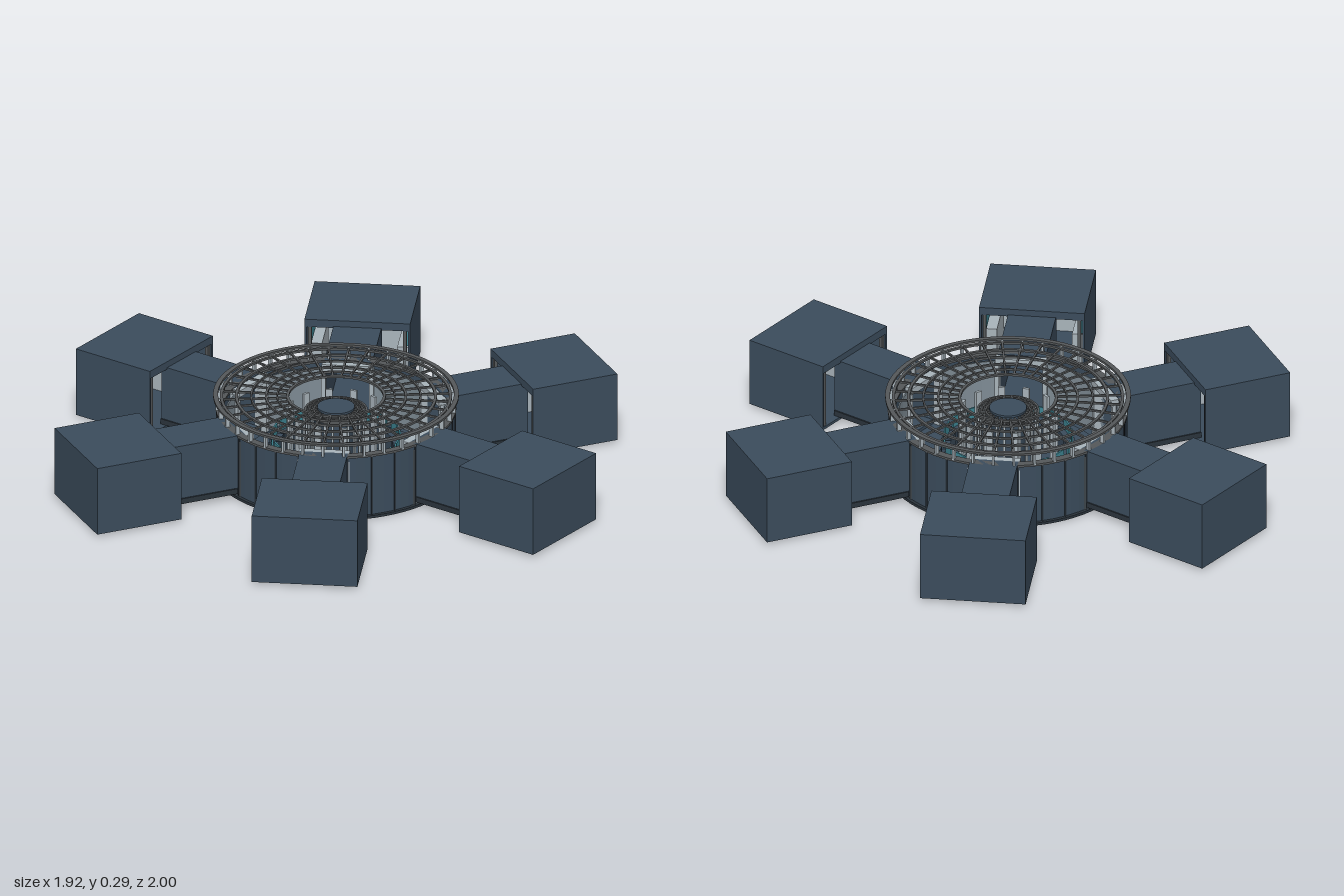
import * as THREE from 'three';

const mat = (color, side = THREE.FrontSide) => new THREE.MeshStandardMaterial({ color, side });
const hull = mat(0x3b4c5c), hullThin = mat(0x3b4c5c, THREE.DoubleSide);
const frame = mat(0x55585a), panel = mat(0xa9b4bb), glass = mat(0x3f8896), dark = mat(0x2b343c);

function add(parent, name, geometry, material, x = 0, y = 0, z = 0) {
  const mesh = new THREE.Mesh(geometry, material);
  mesh.name = name;
  mesh.position.set(x, y, z);
  parent.add(mesh);
  return mesh;
}

// Box given by its minimum and maximum corners
function block(parent, name, material, x0, x1, y0, y1, z0, z1) {
  return add(parent, name, new THREE.BoxGeometry(x1 - x0, y1 - y0, z1 - z0), material,
    (x0 + x1) / 2, (y0 + y1) / 2, (z0 + z1) / 2);
}

// Flat ring with a rectangular section
function band(parent, name, material, r0, r1, y0, y1, start = 0, sweep = Math.PI * 2) {
  const pts = [[r0, y0], [r1, y0], [r1, y1], [r0, y1], [r0, y0]];
  const points = pts.map(([r, y]) => new THREE.Vector2(r, y));
  const geometry = new THREE.LatheGeometry(points, Math.max(8, Math.round(sweep * 12)), start, sweep).toNonIndexed();
  geometry.computeVertexNormals();
  return add(parent, name, geometry, material);
}

// Repeat a part around the vertical axis; the part is built pointing along +z
function around(parent, name, count, build, offset = 0) {
  for (let i = 0; i < count; i++) {
    const g = new THREE.Group();
    g.name = name;
    g.rotation.y = offset + (i / count) * Math.PI * 2;
    build(g);
    parent.add(g);
  }
}

// Corridor from the hub to a pod
function corridor(g) {
  const w = 0.085, z0 = 0.385, z1 = 0.70;
  block(g, 'corridorRoof', hull, -w, w, 0.23, 0.242, z0, z1);
  block(g, 'corridorFloor', hull, -w, w, 0.02, 0.032, z0, z1);
  for (const s of [-1, 1]) {
    block(g, 'corridorWall', hull, s * 0.081 - 0.004, s * 0.081 + 0.004, 0.03, 0.232, z0, z1);
    block(g, 'corridorSkirt', dark, s * 0.086 - 0.004, s * 0.086 + 0.004, 0.02, 0.04, z0 + 0.03, z1);
  }
}

// Hollow pod, open on the side facing the hub
function pod(g) {
  const w = 0.187, z0 = 0.675, z1 = 0.998, t = 0.008;
  block(g, 'podFloor', hull, -w, w, 0.01, 0.02, z0, z1);
  block(g, 'podRoof', hull, -w, w, 0.254, 0.265, z0, z1);
  block(g, 'podEndWall', hull, -w, w, 0.02, 0.254, z1 - t, z1);
  block(g, 'podLining', panel, -w + t, w - t, 0.02, 0.254, z1 - t - 0.006, z1 - t);
  block(g, 'podHeader', hull, -w, w, 0.236, 0.256, z0, z0 + t);
  for (const s of [-1, 1]) {
    const side = s * (w - t / 2);
    block(g, 'podSideWall', hull, side - t / 2, side + t / 2, 0.02, 0.254, z0, z1);
    block(g, 'podDoorPost', frame, s * 0.168 - 0.006, s * 0.168 + 0.006, 0.02, 0.24, z0 + 0.004, z0 + 0.016);
    block(g, 'podCabinet', panel, s * 0.155 - 0.022, s * 0.155 + 0.022, 0.02, 0.14, 0.75, 0.95);
    block(g, 'podScreen', glass, s * 0.172 - 0.004, s * 0.172 + 0.004, 0.15, 0.22, 0.74, 0.96);
  }
}

// Door frame where a corridor enters the hub
function doorway(g) {
  block(g, 'doorLintel', panel, -0.09, 0.09, 0.215, 0.24, 0.355, 0.385);
  for (const s of [-1, 1]) {
    block(g, 'doorJamb', panel, s * 0.085 - 0.008, s * 0.085 + 0.008, 0.01, 0.22, 0.36, 0.41);
  }
}

export function createModel() {
  const model = new THREE.Group();
  model.name = 'sixPodStation';

  // Six arms
  around(model, 'arm', 6, (g) => { corridor(g); pod(g); doorway(g); });

  // Hub base and curved walls between the arms
  const hub = new THREE.Group();
  hub.name = 'hub';
  model.add(hub);
  add(hub, 'basePlate', new THREE.CylinderGeometry(0.43, 0.43, 0.01, 72), dark, 0, 0.005, 0);
  add(hub, 'deck', new THREE.CylinderGeometry(0.41, 0.41, 0.01, 72), hull, 0, 0.013, 0);
  const gap = 0.2;
  for (let i = 0; i < 6; i++) {
    const start = i * Math.PI / 3 + gap, sweep = Math.PI / 3 - 2 * gap;
    band(hub, 'hubWall', hullThin, 0.405, 0.418, 0.01, 0.236, start, sweep);
    band(hub, 'innerLining', mat(0x7f8c95, THREE.DoubleSide), 0.385, 0.39, 0.01, 0.22, start, sweep);
  }
  around(hub, 'wallRib', 30, (g) => {
    const k = Math.round(g.rotation.y / (Math.PI / 15)) % 5;
    if (k !== 0) block(g, 'rib', dark, -0.003, 0.003, 0.01, 0.236, 0.412, 0.421);
  });
  band(hub, 'wallCap', frame, 0.395, 0.423, 0.234, 0.242);

  // Crown railing
  band(hub, 'topRail', frame, 0.415, 0.432, 0.285, 0.293);
  around(hub, 'railPost', 36, (g) => {
    block(g, 'post', panel, -0.004, 0.004, 0.24, 0.287, 0.408, 0.424);
  });

  // Open lattice roof of rings and radial ribs
  const rings = [[0.398, 0.408], [0.345, 0.355], [0.295, 0.301], [0.242, 0.25], [0.205, 0.21], [0.165, 0.175]];
  for (const [r0, r1] of rings) band(hub, 'roofRing', frame, r0, r1, 0.279, 0.287);
  around(hub, 'roofRib', 36, (g) => {
    block(g, 'rib', frame, -0.0035, 0.0035, 0.279, 0.286, 0.168, 0.42);
  });

  // Consoles and seats standing on the deck under the roof
  band(hub, 'outerStep', hull, 0.25, 0.34, 0.016, 0.035);
  around(hub, 'console', 18, (g) => {
    block(g, 'consoleDesk', hull, -0.03, 0.03, 0.018, 0.1, 0.2, 0.235);
    block(g, 'consoleScreen', glass, -0.024, 0.024, 0.1, 0.14, 0.222, 0.228);
  });
  around(hub, 'innerPillar', 12, (g) => {
    block(g, 'pillar', panel, -0.012, 0.012, 0.018, 0.235, 0.165, 0.175);
  }, Math.PI / 12);

  // Central column with a ringed collar
  add(hub, 'coreColumn', new THREE.CylinderGeometry(0.06, 0.06, 0.225, 36), hull, 0, 0.128, 0);
  add(hub, 'coreTop', new THREE.CylinderGeometry(0.066, 0.066, 0.008, 36), hull, 0, 0.242, 0);
  for (const [r0, r1] of [[0.075, 0.081], [0.09, 0.095], [0.104, 0.111]]) {
    band(hub, 'coreRing', frame, r0, r1, 0.226, 0.234);
  }
  around(hub, 'coreSpoke', 24, (g) => {
    block(g, 'spoke', frame, -0.003, 0.003, 0.226, 0.233, 0.055, 0.11);
    block(g, 'corePost', panel, -0.004, 0.004, 0.018, 0.228, 0.102, 0.109);
  });
  return model;
}
